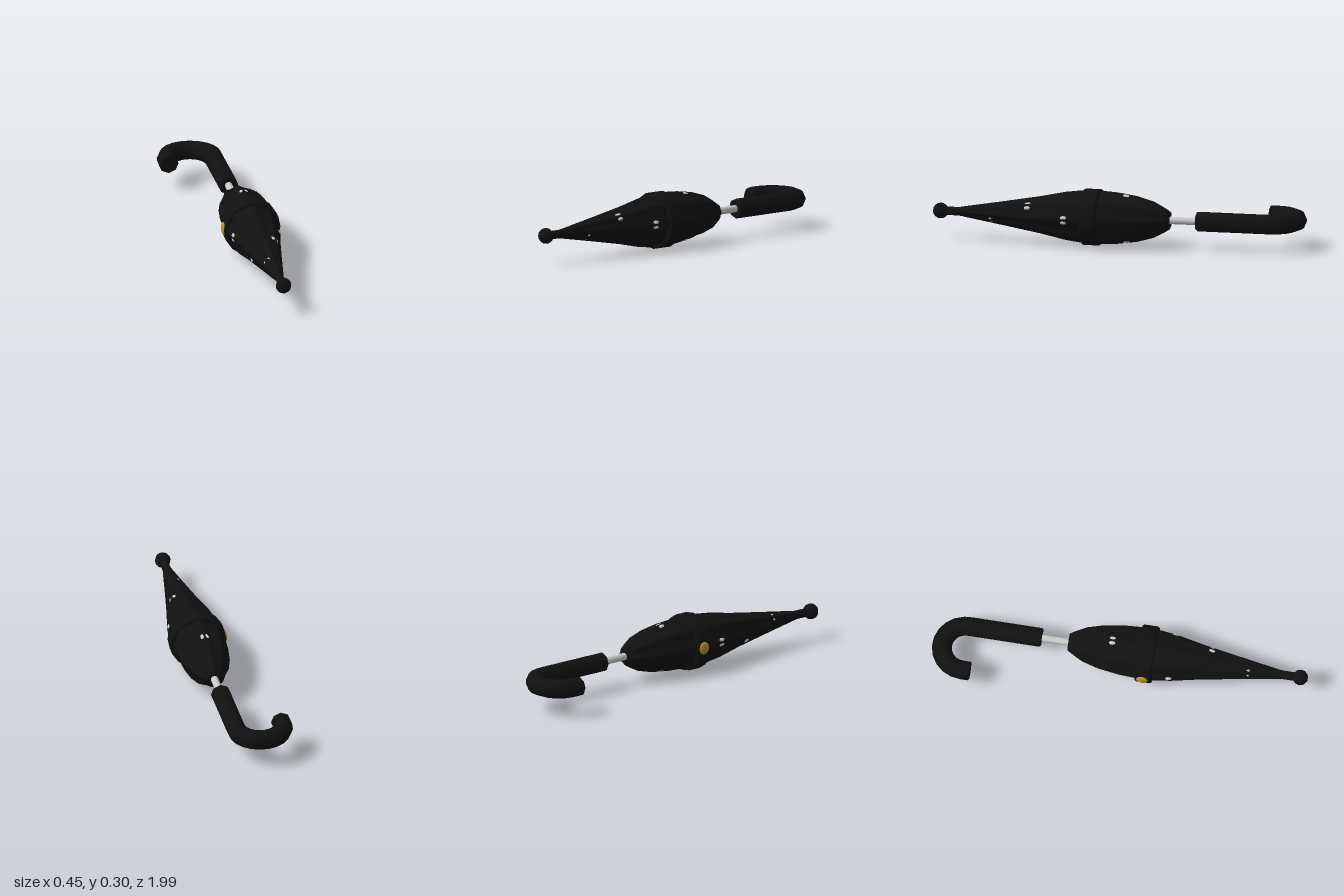
import * as THREE from 'three';

const CX = 0.074, CY = 0.153; // long axis of the umbrella, parallel to z

const black = new THREE.MeshStandardMaterial({ color: 0x111111, side: THREE.DoubleSide });
const grey = new THREE.MeshStandardMaterial({ color: 0xcccccc });
const white = new THREE.MeshStandardMaterial({ color: 0xeeeeee, flatShading: true });
const gold = new THREE.MeshStandardMaterial({ color: 0xb8902c, flatShading: true });

function add(parent, name, geometry, material) {
  const mesh = new THREE.Mesh(geometry, material);
  mesh.name = name;
  parent.add(mesh);
  return mesh;
}

// Lathe around z from [radius, z] pairs
function latheZ(profile, sides) {
  const points = profile.map(([r, z]) => new THREE.Vector2(r, z));
  return new THREE.LatheGeometry(points, sides).rotateX(Math.PI / 2);
}

const CANOPY = [[0.001, -0.285], [0.048, -0.285], [0.07, -0.25], [0.097, -0.2], [0.123, -0.11],
  [0.139, 0], [0.145, 0.1], [0.142, 0.19], [0.13, 0.28], [0.1, 0.42], [0.066, 0.61], [0.028, 0.83]];

// Folded cloth: eight ribs with shallow valleys between them
function canopyGeometry() {
  const geometry = latheZ(CANOPY, 48);
  const p = geometry.attributes.position;
  for (let i = 0; i < p.count; i++) {
    const angle = Math.atan2(p.getY(i), p.getX(i));
    const k = 1 - 0.11 * Math.abs(Math.sin(4 * angle));
    p.setXY(i, p.getX(i) * k, p.getY(i) * k);
  }
  geometry.computeVertexNormals();
  return geometry;
}

function canopyRadius(z) {
  const i = CANOPY.findIndex((q) => q[1] > z);
  const [r0, z0] = CANOPY[i - 1], [r1, z1] = CANOPY[i];
  return { r: r0 + (r1 - r0) * (z - z0) / (z1 - z0), slope: Math.atan2(r1 - r0, z1 - z0) };
}

export function createModel() {
  const model = new THREE.Group();
  model.name = 'foldedUmbrella';
  const body = new THREE.Group();
  body.name = 'body';
  body.position.set(CX, CY, 0);
  model.add(body);

  add(body, 'canopy', canopyGeometry(), black);

  // Ring strap and its button
  add(body, 'strap', latheZ([[0.125, 0.09], [0.147, 0.09], [0.152, 0.1], [0.152, 0.17],
    [0.147, 0.18], [0.125, 0.18]], 16), black);
  const button = add(body, 'button', new THREE.SphereGeometry(0.034, 10, 8), gold);
  button.scale.x = 0.4;
  button.position.set(-0.147, 0, 0.131);

  // Tip
  add(body, 'ferrule', latheZ([[0.028, 0.82], [0.023, 0.86], [0.023, 0.95]], 12), black);
  add(body, 'tipBall', new THREE.SphereGeometry(0.042, 10, 8).translate(0, 0, 0.956), black);

  // Metal shaft between canopy and handle
  add(body, 'shaft', new THREE.CylinderGeometry(0.02, 0.02, 0.2, 10)
    .rotateX(Math.PI / 2).translate(0, 0, -0.36), grey);

  // Small paired spots straddling the ribs, opposite each other
  const spots = [[0, 0.268], [45, 0.475], [90, -0.05], [135, 0.68]];
  for (const [degrees, z] of spots) {
    for (const turn of [0, 180]) {
      const { r, slope } = canopyRadius(z);
      const spot = new THREE.Group();
      spot.name = 'spot';
      spot.rotation.z = THREE.MathUtils.degToRad(degrees + turn);
      for (const side of [-1, 1]) {
        const t = 0.013 * side;
        const half = add(spot, 'spotHalf', new THREE.SphereGeometry(1, 6, 4), white);
        half.scale.set(0.008, 0.011, 0.02);
        half.position.set(r - 0.006 - 0.004 * (0.1 / r), t, z);
        half.rotation.set(0, slope, side * 0.5);
      }
      body.add(spot);
    }
  }

  // Hooked handle: straight grip, half circle, short end
  const handle = new THREE.Group();
  handle.name = 'handle';
  model.add(handle);
  const R = 0.124, TUBE = 0.053, gripEnd = -0.435, bend = -0.82, hookEnd = -0.78;
  const straight = gripEnd - bend, arc = Math.PI * R, tail = hookEnd - bend;
  class HookCurve extends THREE.Curve {
    getPoint(t, target = new THREE.Vector3()) {
      const s = t * (straight + arc + tail);
      if (s < straight) return target.set(CX, CY, gripEnd - s);
      if (s > straight + arc) return target.set(CX - 2 * R, CY, bend + s - straight - arc);
      const a = (s - straight) / R;
      return target.set(CX - R + R * Math.cos(a), CY, bend - R * Math.sin(a));
    }
  }
  add(handle, 'hook', new THREE.TubeGeometry(new HookCurve(), 22, TUBE, 8), black);
  for (const [x, z] of [[CX, gripEnd], [CX - 2 * R, hookEnd]]) {
    add(handle, 'handleEnd', new THREE.CylinderGeometry(TUBE * 0.88, TUBE, 0.007, 8)
      .rotateY(Math.PI / 2).rotateX(Math.PI / 2).translate(x, CY, z + 0.003), black);
  }
  return model;
}
